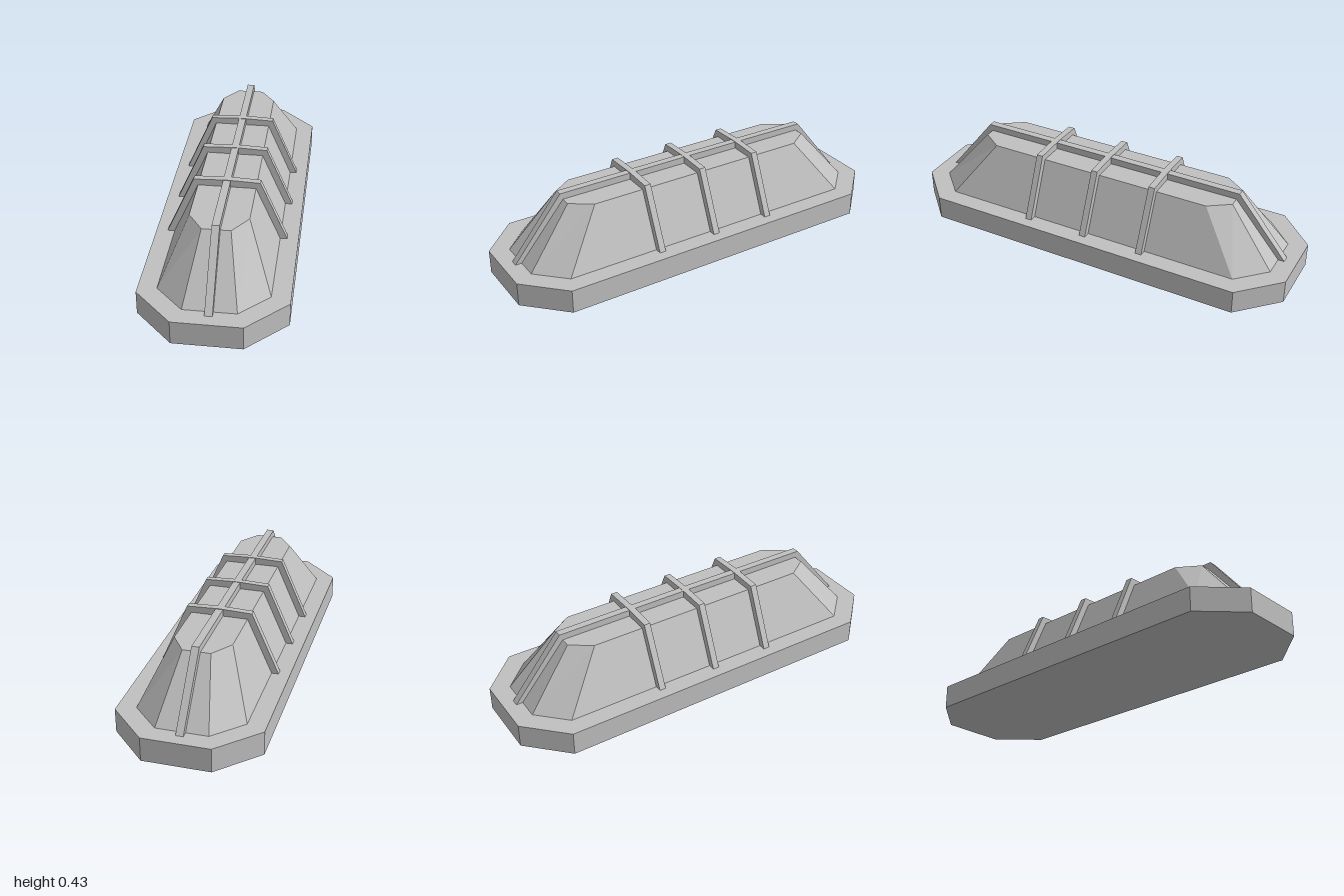
import * as THREE from 'three';

// Octagon with cut corners: half width w, half length l, corner points (cx, l) and (w, cz)
const octagon = (w, l, cx, cz, y) => [
  [cx, l], [w, cz], [w, -cz], [cx, -l], [-cx, -l], [-w, -cz], [-w, cz], [-cx, l],
].map(([x, z]) => [x, y, z]);

// Solid between two octagons, with flat faces and both caps
function loft(bottom, top) {
  const pos = [];
  const tri = (a, b, c) => pos.push(...a, ...b, ...c);
  const n = bottom.length;
  for (let i = 0; i < n; i++) {
    const j = (i + 1) % n;
    tri(bottom[i], bottom[j], top[j]);
    tri(bottom[i], top[j], top[i]);
    if (i > 0 && i < n - 1) {
      tri(top[0], top[i], top[j]);
      tri(bottom[0], bottom[j], bottom[i]);
    }
  }
  const geometry = new THREE.BufferGeometry();
  geometry.setAttribute('position', new THREE.Float32BufferAttribute(pos, 3));
  geometry.computeVertexNormals();
  return geometry;
}

// Upright strap with a sloped outline, extruded about its own centre plane
function strap(footX, shoulderX, shoulderY, peakY, width) {
  const shape = new THREE.Shape([
    [-footX, 0.11], [footX, 0.11], [shoulderX, shoulderY], [0, peakY], [-shoulderX, shoulderY],
  ].map(([x, y]) => new THREE.Vector2(x, y)));
  return new THREE.ExtrudeGeometry(shape, { depth: width, bevelEnabled: false })
    .translate(0, 0, -width / 2);
}

export function createModel() {
  const model = new THREE.Group();
  const grey = new THREE.MeshStandardMaterial({ color: 0xc0c0c0, flatShading: true });
  grey.name = 'light grey';
  const add = (name, geometry) => {
    const mesh = new THREE.Mesh(geometry, grey);
    mesh.name = name;
    model.add(mesh);
    return mesh;
  };

  // Plinth and tapered body
  add('base', loft(octagon(0.345, 1, 0.16, 0.815, 0), octagon(0.345, 1, 0.16, 0.815, 0.118)));
  add('body', loft(octagon(0.257, 0.912, 0.123, 0.777, 0.117), octagon(0.137, 0.68, 0.066, 0.577, 0.39)));

  // Lengthwise spine
  add('spine', strap(0.949, 0.694, 0.422, 0.424, 0.036)).rotation.y = Math.PI / 2;

  // Cross ribs
  for (const z of [-0.307, 0, 0.307]) {
    add('crossRib', strap(0.294, 0.158, 0.42, 0.426, 0.032)).position.z = z;
  }
  return model;
}
